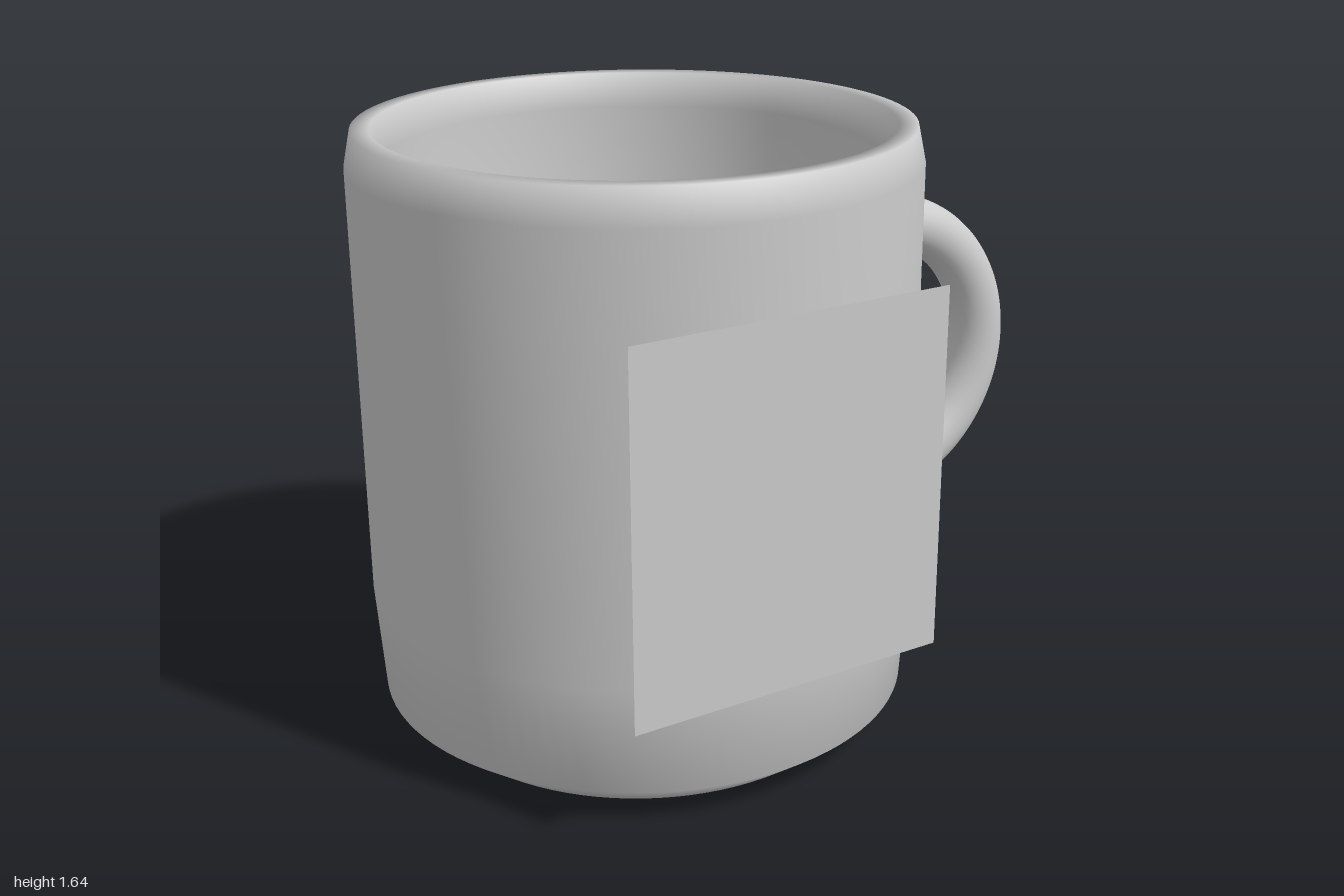
import * as THREE from 'three';
import { mergeVertices } from 'three/addons/utils/BufferGeometryUtils.js';

const CUP_X = -0.25;

export function createModel() {
  const model = new THREE.Group();
  model.name = 'mug';
  const grey = new THREE.MeshStandardMaterial({ color: 0xcccccc });
  const greyDouble = new THREE.MeshStandardMaterial({ color: 0xcccccc, side: THREE.DoubleSide });

  const add = (name, geometry, material, x, y, z) => {
    const mesh = new THREE.Mesh(geometry, material);
    mesh.name = name;
    mesh.position.set(x, y, z);
    model.add(mesh);
    return mesh;
  };

  // Cup: outer wall, bevelled rim, inner wall and floor in one smooth profile
  const profile = [
    [0, 0], [0.615, 0], [0.73, 0.09], [0.75, 0.39], [0.75, 1.55], [0.73, 1.645],
    [0.68, 1.645], [0.66, 1.55], [0.66, 0.1], [0, 0.1],
  ].map(([r, y]) => new THREE.Vector2(r, y));
  let cup = new THREE.LatheGeometry(profile, 96);
  cup.deleteAttribute('normal');
  cup.deleteAttribute('uv');
  cup = mergeVertices(cup);
  cup.computeVertexNormals();
  add('cup', cup, grey, CUP_X, 0, 0);

  // Handle: half ring whose open ends stop just short of the wall
  const handle = new THREE.TorusGeometry(0.395, 0.08, 32, 64, Math.PI);
  handle.rotateZ(-Math.PI / 2);
  add('handle', handle, greyDouble, 0.525, 0.87, 0);

  // Flat panels touching the front and back of the wall
  for (const side of [1, -1]) {
    const panel = add(side > 0 ? 'frontPanel' : 'backPanel',
      new THREE.PlaneGeometry(0.9, 0.98), greyDouble, CUP_X, 0.83, side * 0.753);
    if (side < 0) panel.rotation.y = Math.PI;
  }

  return model;
}
